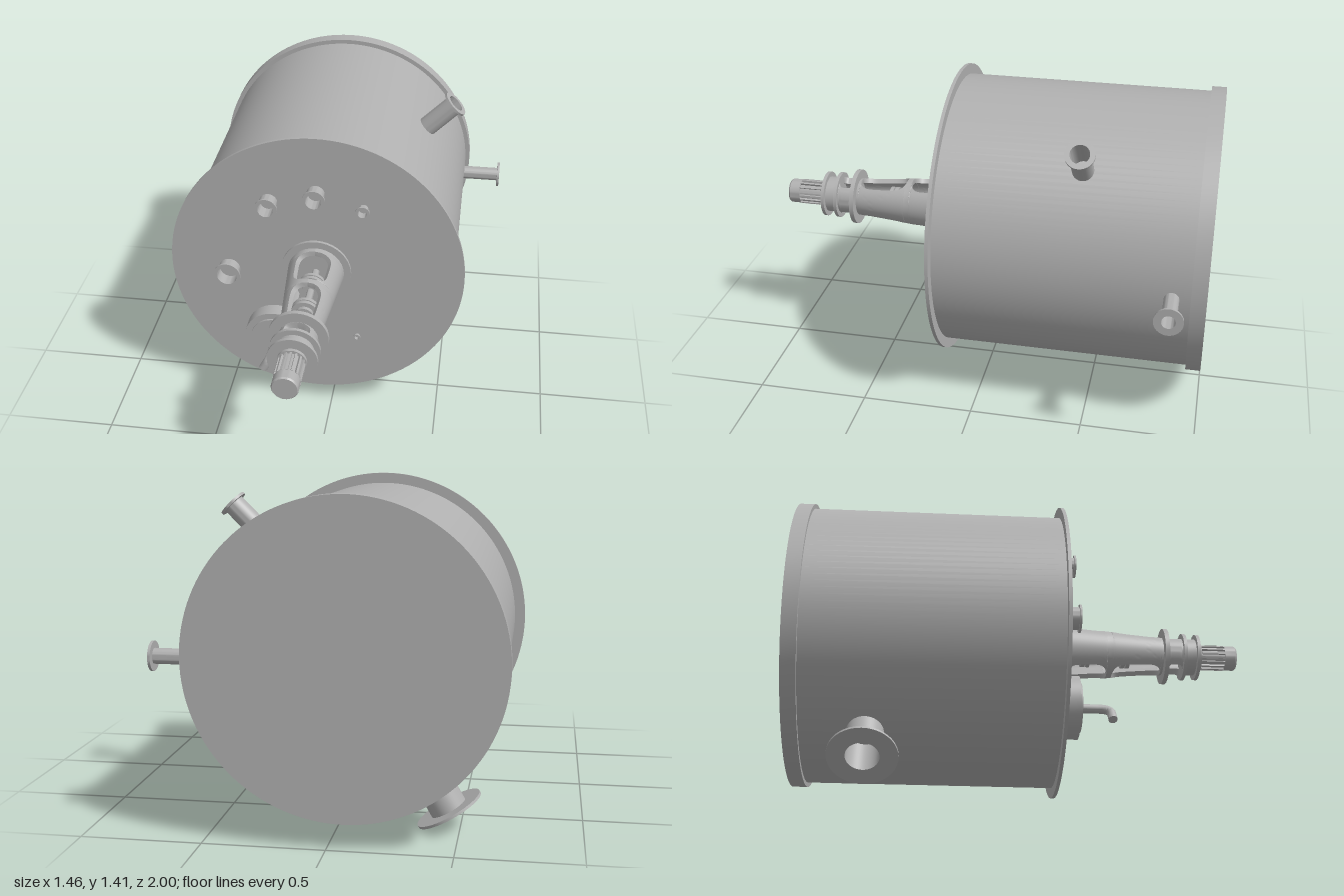
import * as THREE from 'three';
import { toCreasedNormals } from 'three/addons/utils/BufferGeometryUtils.js';

const CX = -0.068, CY = 0.746; // vessel axis

export function createModel() {
  const model = new THREE.Group();
  model.name = 'agitatedVessel';
  const steel = new THREE.MeshStandardMaterial({ color: 0xb0b0b0 });
  steel.name = 'steel grey';

  const add = (name, geometry, parent = model) => {
    const mesh = new THREE.Mesh(toCreasedNormals(geometry, 0.6), steel);
    mesh.name = name;
    parent.add(mesh);
    return mesh;
  };

  // Solid of revolution whose axis points along dir from pos
  const Z = new THREE.Vector3(0, 0, 1), UP = new THREE.Vector3(0, 1, 0);
  const turned = (name, profile, pos, dir = Z, segments = 40) => {
    const pts = profile.map(([r, h]) => new THREE.Vector2(r, h));
    const mesh = add(name, new THREE.LatheGeometry(pts, segments));
    mesh.position.set(...pos);
    mesh.quaternion.setFromUnitVectors(UP, dir);
    return mesh;
  };

  // Open pipe stub with a thin end flange
  const nozzle = (name, pos, dir, start, end, flangeR, pipeR, bore, thick = 0.011) =>
    turned(name, [[pipeR, start], [pipeR, end - thick], [flangeR, end - thick], [flangeR, end],
      [bore, end], [bore, start + 0.005], [0, start + 0.005]], pos, dir);

  // Vessel: rear cap, shell and front plate
  turned('vesselShell', [[0, -1], [0.637, -1], [0.637, -0.935], [0.617, -0.935], [0.617, 0.155],
    [0.663, 0.155], [0.663, 0.17], [0, 0.17]], [CX, CY, 0], Z, 128);

  // Nozzles around the shell
  const radial = (deg) => new THREE.Vector3(Math.cos(deg * Math.PI / 180), Math.sin(deg * Math.PI / 180), 0);
  nozzle('upperNozzle', [CX, CY, -0.453], radial(45), 0.58, 0.795, 0.063, 0.046, 0.041);
  nozzle('sideNozzle', [CX, 0.723, -0.857], radial(0), 0.58, 0.795, 0.061, 0.032, 0.029);
  nozzle('drainNozzle', [CX, CY, -0.66], radial(240), 0.58, 0.776, 0.146, 0.078, 0.07);

  // Nozzles on the front plate: x, y, end, flange, pipe, bore
  [[-0.277, 1.086, 0.24, 0.051, 0.04, 0.035],
    [CX, 1.143, 0.24, 0.051, 0.04, 0.035],
    [-0.466, 0.722, 0.235, 0.061, 0.049, 0.045],
    [0.14, 1.083, 0.21, 0.032, 0.023, 0.02],
    [0.12, 0.396, 0.187, 0.016, 0.012, 0.01]].forEach(([x, y, end, f, p, b]) =>
    nozzle('frontNozzle', [x, y, 0], Z, 0.165, end, f, p, b, 0.009));

  // Manhole with raised lid and bent handle
  turned('manhole', [[0.138, 0.165], [0.138, 0.24], [0.109, 0.24], [0.109, 0.25], [0, 0.25]],
    [-0.257, 0.396, 0], Z, 64);
  const bend = new THREE.CurvePath();
  const v = (x, y, z) => new THREE.Vector3(x, y, z);
  bend.add(new THREE.LineCurve3(v(-0.25, 0.396, 0.24), v(-0.25, 0.396, 0.33)));
  bend.add(new THREE.QuadraticBezierCurve3(v(-0.25, 0.396, 0.33), v(-0.25, 0.396, 0.385), v(-0.267, 0.366, 0.385)));
  bend.add(new THREE.LineCurve3(v(-0.267, 0.366, 0.385), v(-0.284, 0.336, 0.387)));
  add('manholeHandle', new THREE.TubeGeometry(bend, 32, 0.02, 16, false));
  const tip = add('handleTip', new THREE.CylinderGeometry(0.02, 0.02, 0.004, 16));
  tip.position.set(-0.284, 0.336, 0.387);
  tip.quaternion.setFromUnitVectors(UP, v(-0.017, -0.03, 0.002).normalize());

  // Half of a tapered lantern housing; its edges part to leave rounded windows
  const housingHalf = (z0, z1, r0, r1, wall, windows) => {
    const N = 16, zs = [z0, z1];
    for (const [a, b] of windows)
      for (let i = 0; i <= 20; i++) zs.push((a + b) / 2 - (b - a) / 2 * Math.cos(Math.PI * i / 20));
    zs.sort((a, b) => a - b);
    const pos = [], index = [], M = 2 * (N + 1);
    zs.forEach((z, k) => {
      let half = Math.PI / 2;
      for (const [a, b] of windows) {
        const t = Math.min(1, Math.abs((2 * z - a - b) / (b - a)));
        if (z >= a && z <= b) half -= 0.71 * Math.pow(Math.max(0, 1 - t ** 5), 0.4);
      }
      const R = THREE.MathUtils.mapLinear(z, z0, z1, r0, r1);
      for (let i = 0; i < M; i++) {
        const outer = i <= N, s = outer ? i / N : (M - 1 - i) / N;
        const ang = (2 * s - 1) * half, r = outer ? R : R - wall;
        pos.push(r * Math.cos(ang), r * Math.sin(ang), z);
        if (k < zs.length - 1) {
          const a = k * M + i, b = k * M + (i + 1) % M;
          index.push(a, b, b + M, a, b + M, a + M);
        }
      }
    });
    const g = new THREE.BufferGeometry();
    g.setAttribute('position', new THREE.Float32BufferAttribute(pos, 3));
    g.setIndex(index);
    return g;
  };
  const housing = (name, ...args) => {
    for (const turn of [0, Math.PI]) {
      const half = add(name, housingHalf(...args));
      half.position.set(CX, CY, 0);
      half.rotation.z = turn;
    }
  };
  const axis = [CX, CY, 0];
  turned('agitatorBase', [[0.158, 0.165], [0.158, 0.184], [0, 0.184]], axis);
  housing('lanternHousing', 0.18, 0.66, 0.127, 0.086, 0.022, [[0.208, 0.395], [0.42, 0.645]]);
  housing('sealHousing', 0.67, 0.75, 0.085, 0.085, 0.03, [[0.676, 0.746]]);

  // Shaft with two couplings and a collar
  const coupling = (z) => [[0.016, z - 0.037], [0.04, z - 0.037], [0.04, z - 0.02], [0.06, z - 0.02],
    [0.06, z - 0.003], [0.05, z - 0.003], [0.05, z + 0.003], [0.06, z + 0.003],
    [0.06, z + 0.02], [0.04, z + 0.02], [0.04, z + 0.037], [0.016, z + 0.037]];
  turned('shaft', [[0.016, 0.17], ...coupling(0.3), ...coupling(0.485), [0.016, 0.57], [0.035, 0.57],
    [0.035, 0.63], [0.022, 0.63], [0.022, 0.75]], axis, Z, 24);

  // Mounting flanges and gearbox
  turned('housingFlange', [[0, 0.655], [0.128, 0.655], [0.128, 0.675], [0, 0.675]], axis);
  turned('gearbox', [[0, 0.745], [0.107, 0.745], [0.107, 0.76], [0.083, 0.76], [0.083, 0.807],
    [0.105, 0.807], [0.105, 0.822], [0.062, 0.822], [0.062, 0.836], [0, 0.836]], axis);

  // Motor with cooling fins and end cap
  turned('motor', [[0.048, 0.83], [0.048, 0.945], [0.056, 0.945], [0.056, 0.993], [0.051, 1], [0, 1]], axis);
  const fins = new THREE.Group();
  fins.name = 'motorFins';
  fins.position.set(CX, CY, 0.892);
  model.add(fins);
  for (let i = 0; i < 16; i++) {
    const a = i / 16 * Math.PI * 2;
    const fin = add('motorFin', new THREE.BoxGeometry(0.014, 0.009, 0.108), fins);
    fin.position.set(0.051 * Math.cos(a), 0.051 * Math.sin(a), 0);
    fin.rotation.z = a;
  }
  return model;
}
